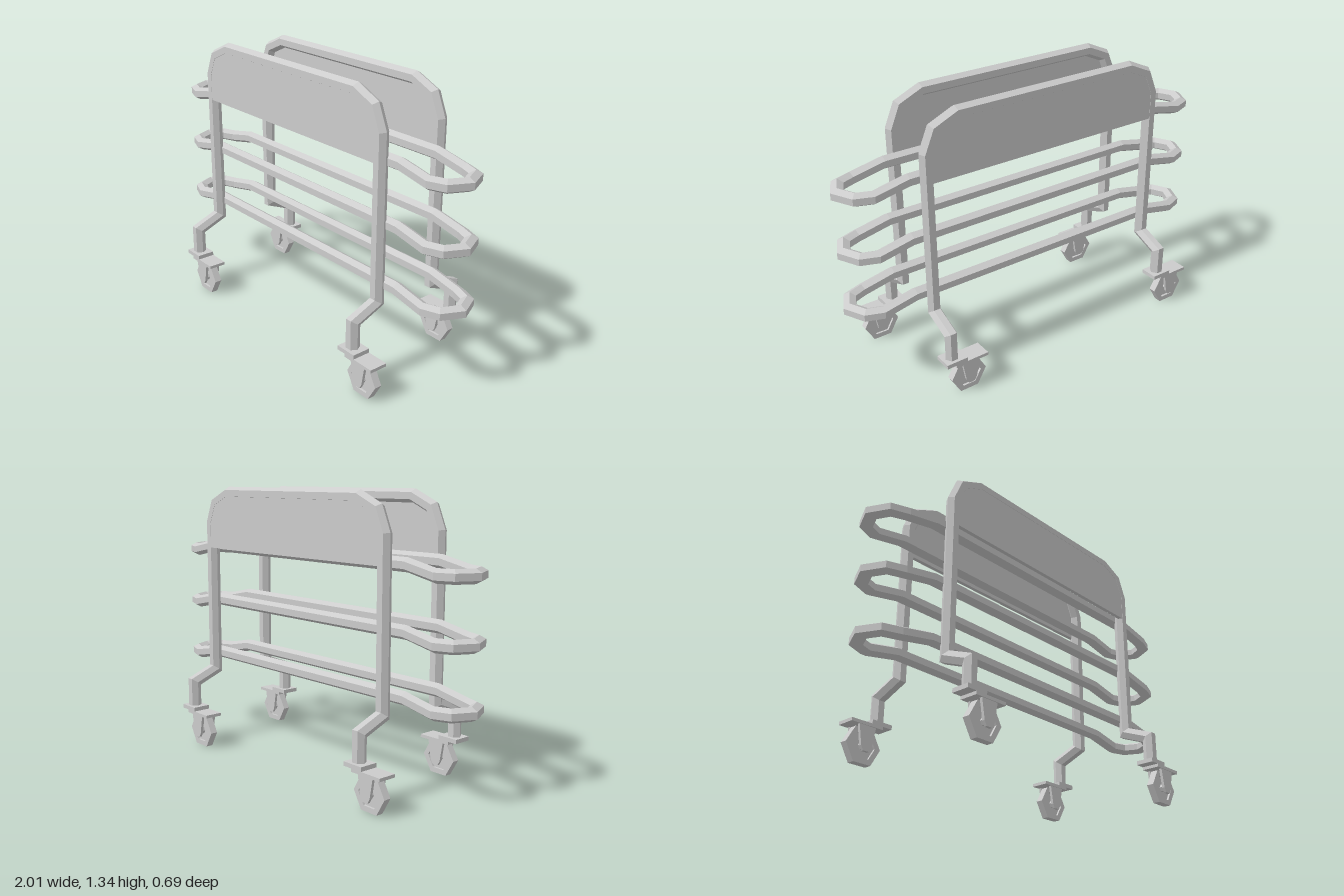
import * as THREE from 'three';

const V = (x, y, z) => new THREE.Vector3(x, y, z);
const mat = new THREE.MeshStandardMaterial({ color: 0xcccccc, flatShading: true });

function add(parent, name, geo, x = 0, y = 0, z = 0) {
  const m = new THREE.Mesh(geo, mat);
  m.name = name;
  m.position.set(x, y, z);
  parent.add(m);
  return m;
}

// Six-sided tube along a polyline with mitred bends; one corner points along cornerAxis
function hexTube(path, cornerAxis, closed = false, r = 0.032) {
  const n = path.length, count = closed ? n + 1 : n;
  const at = i => path[(i + n) % n];
  const dir = i => at(i + 1).clone().sub(at(i)).normalize();
  const d0 = dir(0), b = d0.clone().cross(cornerAxis);
  let ring = Array.from({ length: 6 }, (_, k) => at(0).clone()
    .addScaledVector(cornerAxis, r * Math.cos(k * Math.PI / 3))
    .addScaledVector(b, r * Math.sin(k * Math.PI / 3)));
  const pos = [], index = [];
  for (let i = 0; i < count; i++) {
    if (i > 0) {
      // carry the section along the segment onto the mitre plane of the next bend
      const d = dir(i - 1), last = !closed && i === n - 1;
      const normal = last ? d.clone() : d.clone().add(dir(i % n));
      ring = ring.map(v => v.clone().addScaledVector(d,
        at(i).clone().sub(v).dot(normal) / d.dot(normal)));
    }
    ring.forEach(v => pos.push(v.x, v.y, v.z));
    if (i === 0) continue;
    for (let k = 0; k < 6; k++) {
      const p = (i - 1) * 6 + k, q = (i - 1) * 6 + (k + 1) % 6;
      index.push(p, q, q + 6, p, q + 6, p + 6);
    }
  }
  const g = new THREE.BufferGeometry();
  g.setAttribute('position', new THREE.Float32BufferAttribute(pos, 3));
  g.setIndex(index);
  const flat = g.toNonIndexed();
  flat.computeVertexNormals();
  return flat;
}

function extrude(shape, depth) {
  const g = new THREE.ExtrudeGeometry(shape, { depth, bevelEnabled: false });
  return g.translate(0, 0, -depth / 2);
}

const polygon = pts => new THREE.Shape(pts.map(p => new THREE.Vector2(...p)));
const hexPoints = r => Array.from({ length: 6 }, (_, k) =>
  [r * Math.cos(k * Math.PI / 3), r * Math.sin(k * Math.PI / 3)]);

// Swivel wheel, offset sideways from the leg plate
function createCaster() {
  const g = new THREE.Group();
  g.name = 'caster';
  add(g, 'legPlate', new THREE.BoxGeometry(0.107, 0.02, 0.09), 0, 0.19, 0);
  add(g, 'wheelPlate', new THREE.BoxGeometry(0.17, 0.015, 0.09), 0.079, 0.1725, 0);

  const wheelX = 0.074, wheelY = 0.08;
  const tyre = polygon(hexPoints(0.092));
  tyre.holes.push(new THREE.Path(hexPoints(0.064).map(p => new THREE.Vector2(...p))));
  add(g, 'tyre', extrude(tyre, 0.036), wheelX, wheelY, 0);
  add(g, 'wheelDisc', extrude(polygon(hexPoints(0.066)), 0.014), wheelX, wheelY, 0);
  add(g, 'axle', extrude(polygon(hexPoints(0.02)), 0.078), wheelX, wheelY, 0);

  const arm = polygon([[-0.045, 0.088], [-0.028, -0.008], [-0.016, -0.03],
    [0.016, -0.03], [0.028, -0.008], [0.045, 0.088]]);
  for (const s of [-1, 1]) add(g, 'forkArm', extrude(arm, 0.014), wheelX, wheelY, s * 0.034);
  return g;
}

// One upright frame: bent tube, sign panel and two casters
function createSideFrame() {
  const g = new THREE.Group();
  g.name = 'sideFrame';
  const cx = -0.0085, z = 0.162, legZ = 0.299;
  const arch = [[0.6305, 1.16], [0.587, 1.262], [0.476, 1.311]];
  const half = [V(0.6305, 0.2, legZ), V(0.6305, 0.325, legZ), V(0.6305, 0.38, z),
    ...arch.map(([x, y]) => V(x, y, z))];
  const other = half.map(p => V(-p.x, p.y, p.z)).reverse();
  add(g, 'frameTube', hexTube([...half, ...other], V(1, 0, 0)), cx);

  const outline = [[0.6305, 1.028], ...arch];
  const panel = polygon([...outline, ...outline.map(([x, y]) => [-x, y]).reverse()]);
  add(g, 'panel', extrude(panel, 0.02), cx, 0, z + 0.0167);

  for (const x of [-0.634, 0.625]) {
    const c = createCaster();
    c.position.set(x, 0, legZ - 0.001);
    g.add(c);
  }
  return g;
}

// Closed rail loop whose ends dip below the middle
function createRail() {
  const end = [[0.7, 0.11], [0.86, 0.11], [0.932, 0.083], [0.972, 0],
    [0.932, -0.083], [0.86, -0.11], [0.7, -0.11]];
  const path = [V(0, 0, 0.11), ...end.map(([x, z]) => V(x, 0, z)),
    V(0, 0, -0.11), ...end.map(([x, z]) => V(-x, 0, -z))];
  const g = hexTube(path, V(0, 1, 0), true);
  const p = g.attributes.position;
  for (let i = 0; i < p.count; i++) {
    const t = THREE.MathUtils.clamp((0.86 - Math.abs(p.getX(i))) / 0.16, 0, 1);
    p.setY(i, p.getY(i) + 0.033 * t);
  }
  g.computeVertexNormals();
  return g;
}

export function createModel() {
  const model = new THREE.Group();
  model.name = 'railTrolley';

  // The back frame is the front frame turned half around
  const front = createSideFrame();
  const back = createSideFrame();
  back.rotation.y = Math.PI;
  model.add(front, back);

  // Three stacked rails between the frames
  const rail = createRail();
  for (let i = 0; i < 3; i++) add(model, 'rail', rail, 0, 0.426 + i * 0.287, 0.007);
  return model;
}
